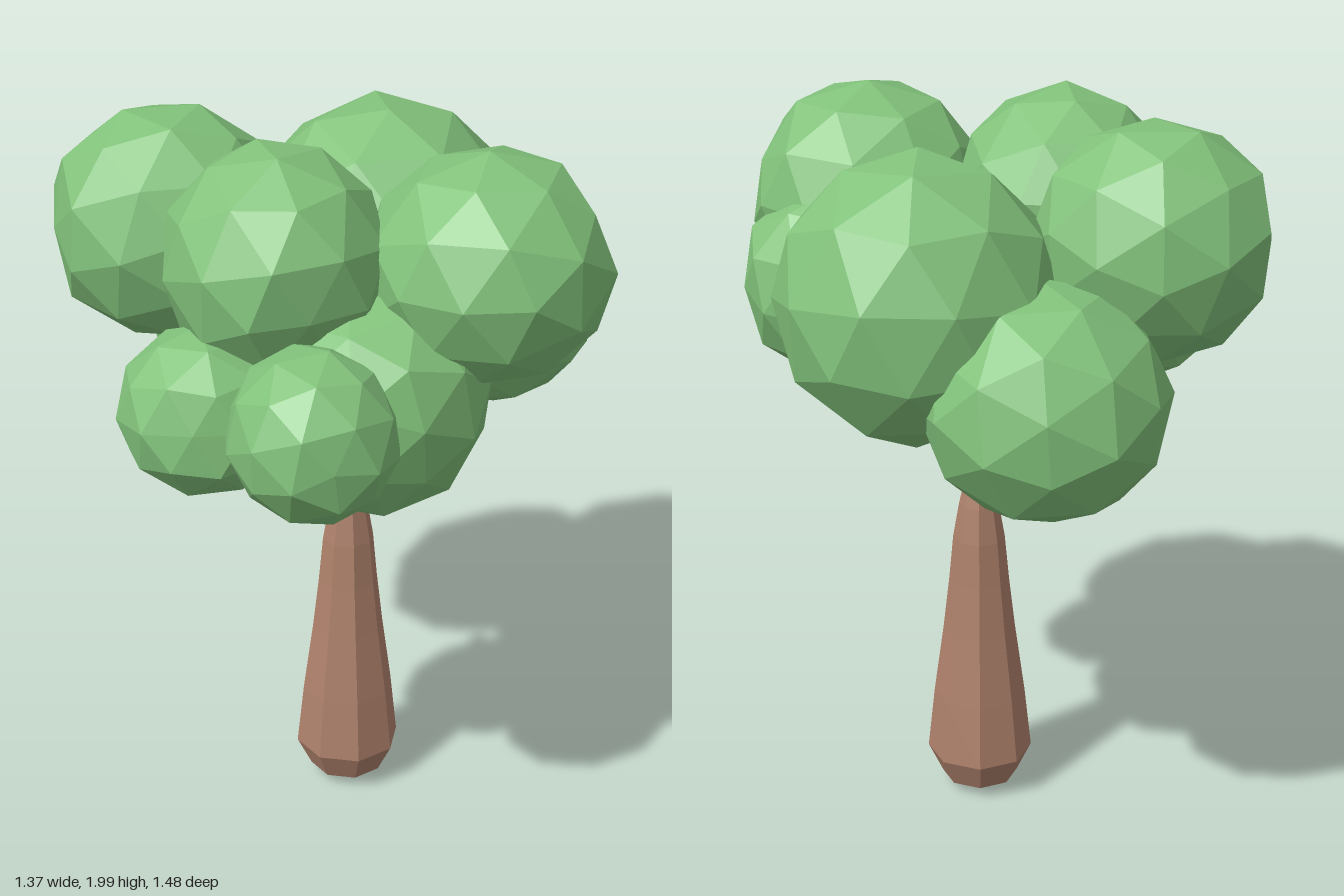
import * as THREE from 'three';

const bark = new THREE.MeshStandardMaterial({ color: 0xaf826c, flatShading: true });
const leaf = new THREE.MeshStandardMaterial({ color: 0x82c27b, flatShading: true });

function add(parent, name, geometry, material) {
  const mesh = new THREE.Mesh(geometry, material);
  mesh.name = name;
  parent.add(mesh);
  return mesh;
}

// Eight-sided bottle-shaped trunk, flaring slightly where the branches start
function addTrunk(parent) {
  const profile = [
    [0, 0.004], [0.05, 0.014], [0.105, 0.035], [0.146, 0.12], [0.127, 0.3], [0.1, 0.5],
    [0.083, 0.65], [0.071, 0.78], [0.054, 0.88], [0.036, 0.96], [0.034, 1.0], [0.044, 1.035], [0, 1.055],
  ].map(([r, y]) => new THREE.Vector2(r, y));
  add(parent, 'trunk', new THREE.LatheGeometry(profile, 8), bark).position.set(0.06, 0, -0.003);
}

// Bent branches running from the trunk into the foliage
function addBranches(parent) {
  const paths = {
    leftBranch: [[0.06, 1.0, 0], [0.02, 1.03, 0], [-0.16, 1.055, -0.01], [-0.19, 1.08, -0.015], [-0.25, 1.24, -0.04]],
    rightBranch: [[0.06, 1.0, 0], [0.1, 1.04, 0.005], [0.3, 1.12, 0.03], [0.46, 1.25, 0.055], [0.47, 1.4, 0.08]],
    frontBranch: [[0.06, 1.0, 0], [0.06, 1.03, 0.04], [0.055, 1.08, 0.25], [0.05, 1.2, 0.32]],
    backBranch: [[0.06, 1.0, 0], [0.06, 1.04, -0.05], [0.06, 1.12, -0.23], [0.08, 1.18, -0.34], [0.12, 1.35, -0.36]],
  };
  for (const [name, points] of Object.entries(paths)) {
    const curve = new THREE.CatmullRomCurve3(points.map((p) => new THREE.Vector3(...p)), false, 'catmullrom', 0.15);
    add(parent, name, new THREE.TubeGeometry(curve, 20, 0.019, 6), bark);
  }
}

// Faceted ball with the side towards a direction pressed flat
function clumpGeometry(turn, radii, flatSide) {
  const geometry = new THREE.IcosahedronGeometry(1, 1);
  geometry.rotateX(0.4 + turn * 1.3).rotateY(turn * 2.1).rotateZ(turn * 0.7);
  const normal = new THREE.Vector3(...flatSide).normalize();
  const position = geometry.attributes.position;
  const v = new THREE.Vector3();
  for (let i = 0; i < position.count; i++) {
    v.fromBufferAttribute(position, i);
    v.addScaledVector(normal, -Math.max(0, v.dot(normal) - 0.9));
    position.setXYZ(i, v.x, v.y, v.z);
  }
  return geometry.scale(...radii);
}

// Leaf clumps: centre, radii along x, y, z and direction of the flat side
function addFoliage(parent) {
  const clumps = {
    upperLeftClump: [[-0.39, 1.69, -0.18], [0.325, 0.315, 0.29], [-1, -0.1, 0.1]],
    upperFrontClump: [[-0.17, 1.7, 0.165], [0.295, 0.305, 0.315], [0.2, -0.3, 1]],
    upperRightClump: [[0.355, 1.69, 0.285], [0.325, 0.3, 0.32], [0.9, 0.4, 0.1]],
    upperBackClump: [[0.215, 1.565, -0.263], [0.372, 0.385, 0.362], [-0.55, -0.6, -0.5]],
    lowerBackClump: [[-0.105, 1.35, -0.42], [0.325, 0.31, 0.35], [-0.1, -0.05, -1]],
    lowerRightClump: [[0.42, 1.495, 0.095], [0.283, 0.27, 0.25], [1, 0, 0.1]],
    lowerLeftClump: [[-0.38, 1.36, 0.28], [0.225, 0.22, 0.235], [-0.3, 0.1, 1]],
    smallFrontClump: [[-0.152, 1.385, 0.52], [0.22, 0.225, 0.237], [0.15, 0.15, 1]],
    lowerFrontClump: [[0.05, 1.365, 0.31], [0.305, 0.31, 0.305], [0.4, -0.2, 0.9]],
  };
  Object.entries(clumps).forEach(([name, [centre, radii, flatSide]], i) => {
    add(parent, name, clumpGeometry(i, radii, flatSide), leaf).position.set(...centre);
  });
}

export function createModel() {
  const tree = new THREE.Group();
  tree.name = 'tree';
  const wood = new THREE.Group();
  wood.name = 'wood';
  const foliage = new THREE.Group();
  foliage.name = 'foliage';
  tree.add(wood, foliage);
  addTrunk(wood);
  addBranches(wood);
  addFoliage(foliage);
  return tree;
}
